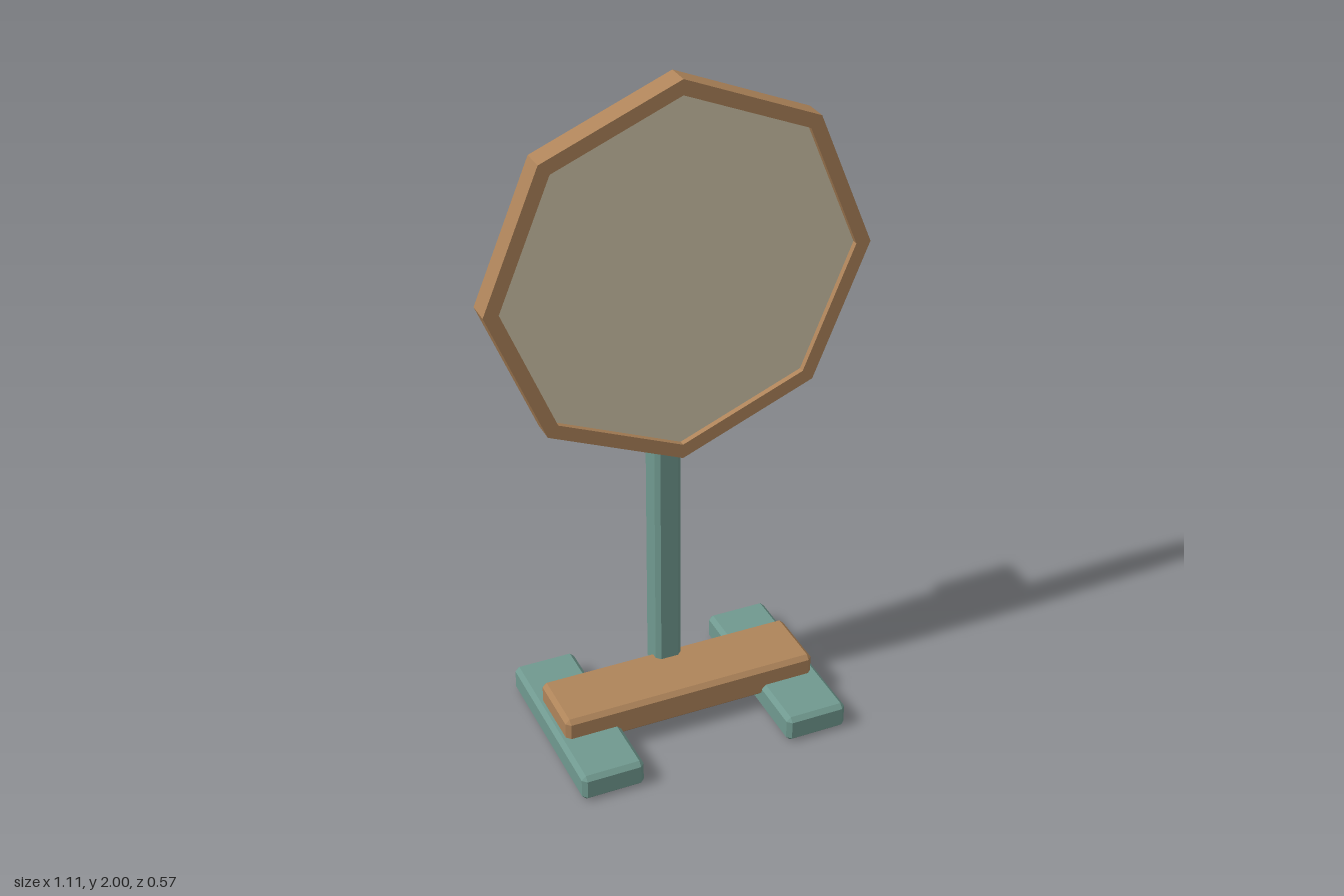
import * as THREE from 'three';
import { ConvexGeometry } from 'three/addons/geometries/ConvexGeometry.js';

const material = (color) => new THREE.MeshStandardMaterial({ color, flatShading: true });
const wood = material(0xae845a);
const teal = material(0x70998f);
const cream = material(0xd2c7aa);

// Box with chamfered edges and corners, given by its size and centre
function chamferBox(name, mat, [w, h, d], [x, y, z], bevel = 0.013) {
  const points = [];
  for (const sx of [-1, 1]) for (const sy of [-1, 1]) for (const sz of [-1, 1]) {
    for (let axis = 0; axis < 3; axis++) {
      const inset = [bevel, bevel, bevel];
      inset[axis] = 0;
      points.push(new THREE.Vector3(
        sx * (w / 2 - inset[0]), sy * (h / 2 - inset[1]), sz * (d / 2 - inset[2])));
    }
  }
  const mesh = new THREE.Mesh(new ConvexGeometry(points), mat);
  mesh.name = name;
  mesh.position.set(x, y, z);
  return mesh;
}

// Octagon corners with one corner pointing straight up
function octagon(radius) {
  return Array.from({ length: 8 }, (_, i) => {
    const a = Math.PI / 2 + i * Math.PI / 4;
    return new THREE.Vector2(radius * Math.cos(a), radius * Math.sin(a));
  });
}

// Octagonal plate, optionally with an octagonal hole, centred on z = 0
function octagonPlate(name, mat, radius, depth, holeRadius) {
  const shape = new THREE.Shape(octagon(radius));
  if (holeRadius) shape.holes.push(new THREE.Path(octagon(holeRadius)));
  const geometry = new THREE.ExtrudeGeometry(shape, { depth, bevelEnabled: false });
  geometry.translate(0, 0, -depth / 2);
  const mesh = new THREE.Mesh(geometry, mat);
  mesh.name = name;
  return mesh;
}

export function createModel() {
  const model = new THREE.Group();
  model.name = 'octagonalBoardOnStand';

  // Framed board
  const board = new THREE.Group();
  board.name = 'board';
  board.position.y = 1.447;
  board.add(
    octagonPlate('boardFrame', wood, 0.553, 0.07, 0.51),
    octagonPlate('boardPanel', cream, 0.515, 0.036));
  model.add(board);

  // Mounting block and post behind the board
  model.add(
    chamferBox('mountingBlock', wood, [0.188, 0.16, 0.16], [0, 1.365, -0.09]),
    chamferBox('post', teal, [0.08, 1.2, 0.088], [0, 0.7, -0.104]));

  // Base: crossbar resting in two feet
  model.add(chamferBox('crossbar', wood, [0.782, 0.098, 0.21], [0, 0.094, 0]));
  for (const [side, name] of [[1, 'leftFoot'], [-1, 'rightFoot']]) {
    model.add(chamferBox(name, teal, [0.188, 0.082, 0.566], [side * 0.319, 0.041, 0]));
  }
  return model;
}
